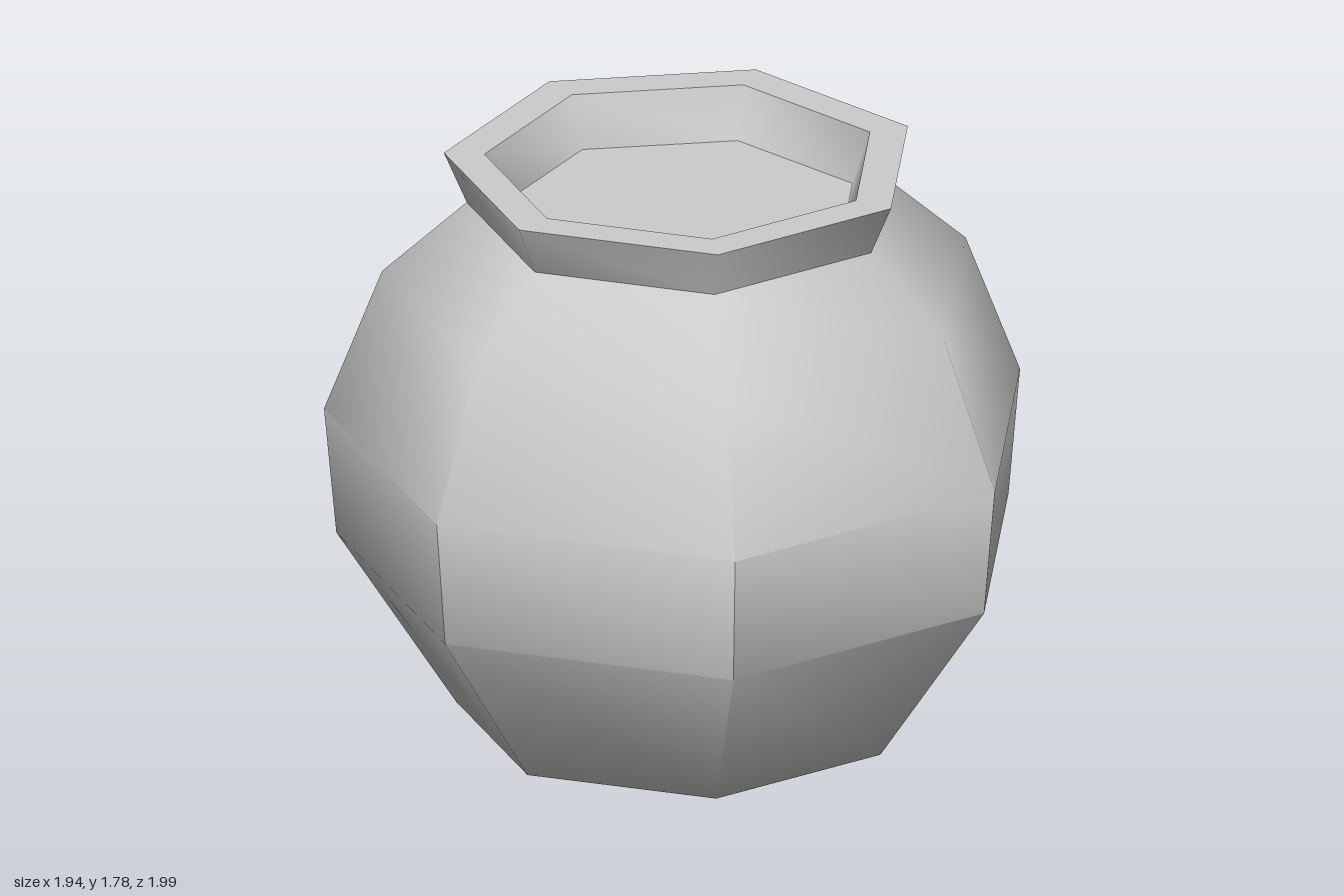
import * as THREE from 'three';
import { toCreasedNormals } from 'three/addons/utils/BufferGeometryUtils.js';

const SIDES = 7;
const CREASE = THREE.MathUtils.degToRad(50);

export function createModel() {
  const group = new THREE.Group();
  group.name = 'pot';
  const clay = new THREE.MeshStandardMaterial({ color: 0xcccccc });
  clay.name = 'grey clay';

  // Seven-sided turned part with one corner pointing to +x
  function turned(name, profile) {
    const points = profile.map(([r, y]) => new THREE.Vector2(r, y));
    const lathe = new THREE.LatheGeometry(points, SIDES, Math.PI / 2);
    const mesh = new THREE.Mesh(toCreasedNormals(lathe, CREASE), clay);
    mesh.name = name;
    mesh.position.x = -0.05; // centres the bounds of the odd-sided plan
    group.add(mesh);
  }

  // Round belly with closed base, up to the neck
  turned('body', [
    [0, 0], [0.425, 0], [0.645, 0.09], [0.985, 0.6],
    [1.02, 0.98], [0.855, 1.41], [0.615, 1.63],
  ]);

  // Flared collar: outside, flat lip and inside wall
  turned('rim', [[0.615, 1.63], [0.68, 1.78], [0.565, 1.78], [0.512, 1.63]]);

  // Flat surface closing the mouth
  turned('mouthFloor', [[0.512, 1.63], [0, 1.63]]);

  return group;
}
